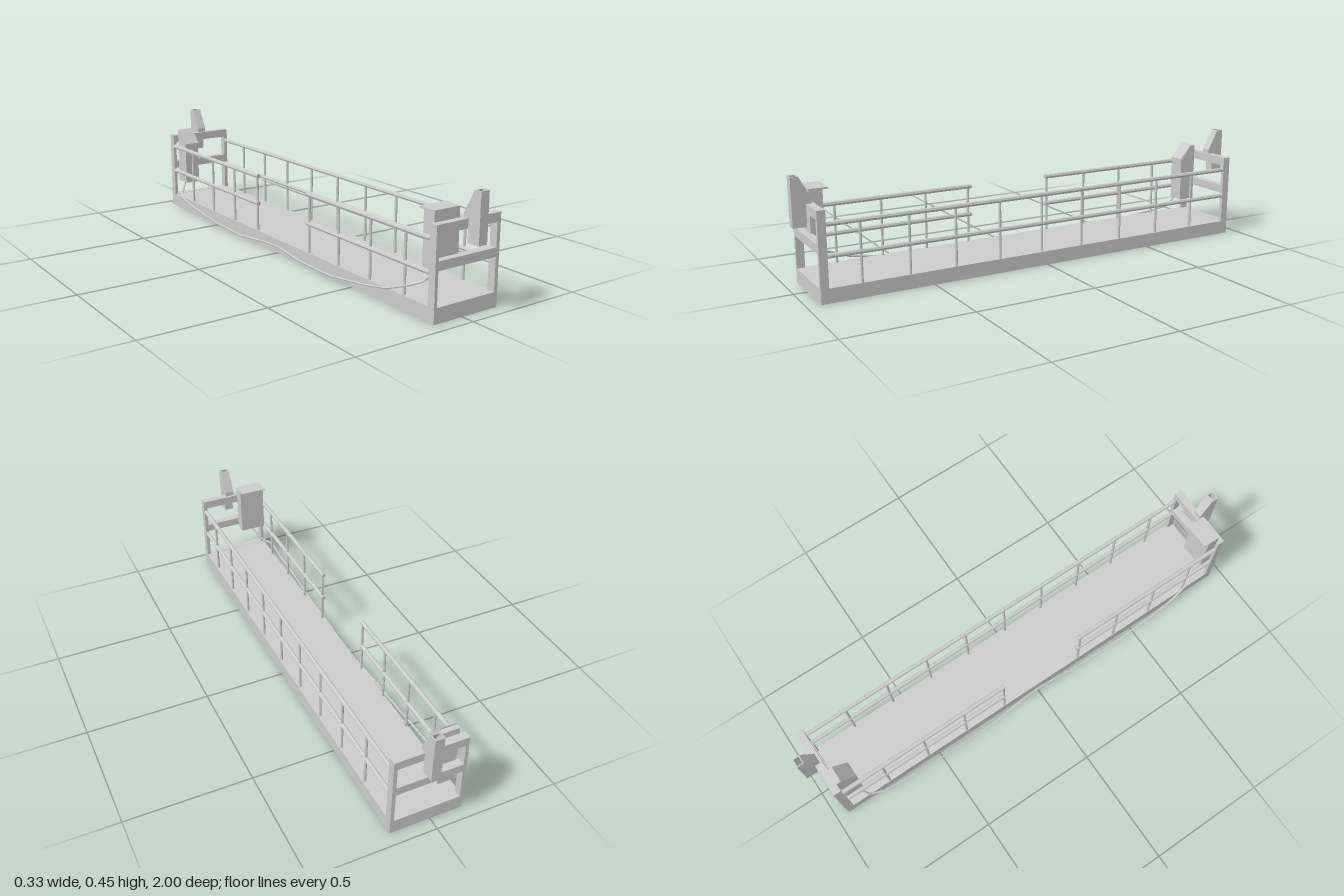
import * as THREE from 'three';

const material = new THREE.MeshStandardMaterial({ color: 0xcccccc, flatShading: true });
const X0 = -0.131, X1 = 0.163, END = 0.915, OUT = 0.947;

export function createModel() {
  const model = new THREE.Group();
  model.name = 'suspendedWorkPlatform';

  const add = (name, geometry, parent = model) => {
    const mesh = new THREE.Mesh(geometry, material);
    mesh.name = name;
    parent.add(mesh);
    return mesh;
  };
  const box = (name, x0, x1, y0, y1, z0, z1, parent) => {
    const g = new THREE.BoxGeometry(x1 - x0, y1 - y0, z1 - z0);
    g.translate((x0 + x1) / 2, (y0 + y1) / 2, (z0 + z1) / 2);
    return add(name, g, parent);
  };
  // side profile given as [z, y] points, extruded from x0 to x1
  const prism = (name, points, x0, x1, parent) => {
    const shape = new THREE.Shape(points.map(([z, y]) => new THREE.Vector2(z, y)));
    const g = new THREE.ExtrudeGeometry(shape, { depth: x1 - x0, bevelEnabled: false });
    g.rotateY(-Math.PI / 2).translate(x1, 0, 0);
    return add(name, g, parent);
  };
  const rectangle = (Type, x0, x1, y0, y1) => new Type().moveTo(x0, y0)
    .lineTo(x1, y0).lineTo(x1, y1).lineTo(x0, y1).closePath();

  // Deck
  box('deck', X0, X1, 0, 0.057, -END, END);

  // End frames with two openings, and a hollow hoist bracket on each
  for (const s of [1, -1]) {
    const end = new THREE.Group();
    end.name = s > 0 ? 'frontEnd' : 'backEnd';
    model.add(end);

    const shape = rectangle(THREE.Shape, X0, X1, 0, 0.347);
    shape.holes.push(rectangle(THREE.Path, -0.118, 0.148, 0.058, 0.187));
    shape.holes.push(rectangle(THREE.Path, -0.118, 0.148, 0.221, 0.312));
    const frame = new THREE.ExtrudeGeometry(shape, { depth: OUT - END, bevelEnabled: false });
    frame.translate(0, 0, s > 0 ? END : -OUT);
    add('endFrame', frame, end);

    const bracket = new THREE.Group();
    bracket.name = 'hoistBracket';
    end.add(bracket);
    const bx0 = 0.009, bx1 = 0.047, t = 0.004;
    const flip = (points) => points.map(([z, y]) => [s * z, y]);
    const cheek = flip([[OUT, 0.262], [1, 0.262], [1, 0.45], [0.97, 0.45],
      [0.925, 0.365], [0.925, 0.347], [OUT, 0.347]]);
    prism('bracketCheek', cheek, bx0, bx0 + t, bracket);
    prism('bracketCheek', cheek, bx1 - t, bx1, bracket);
    const wall = (name, points) => prism(name, flip(points), bx0 + t, bx1 - t, bracket);
    wall('bracketOuterWall', [[1 - t, 0.262], [1, 0.262], [1, 0.45], [1 - t, 0.45]]);
    wall('bracketInnerWall', [[0.925, 0.347], [0.929, 0.347], [0.929, 0.364],
      [0.974, 0.45], [0.97, 0.45], [0.925, 0.365]]);
    wall('bracketFloor', [[OUT, 0.262], [1 - t, 0.262], [1 - t, 0.266], [OUT, 0.266]]);
    wall('bracketBack', [[OUT, 0.266], [OUT + t, 0.266], [OUT + t, 0.351],
      [0.929, 0.351], [0.929, 0.347], [OUT, 0.347]]);
  }

  // Guard rails: one full side, one side with an entry gap
  const rails = new THREE.Group();
  rails.name = 'guardRails';
  model.add(rails);
  const railRun = (x, z0, z1) => {
    for (const y of [0.175, 0.293]) {
      const g = new THREE.CylinderGeometry(0.0095, 0.0095, z1 - z0, 8);
      g.rotateX(Math.PI / 2).translate(x, y, (z0 + z1) / 2);
      add('rail', g, rails);
    }
    for (let i = 0; i < 9; i++) {
      const z = 0.787 - i * 0.1905;
      if (z < z0 || z > z1) continue;
      const g = new THREE.CylinderGeometry(0.0055, 0.0055, 0.24, 8);
      add('railPost', g.translate(x, 0.173, z), rails);
    }
  };
  railRun(0.154, -END, END);
  railRun(-0.124, -END, -0.157);
  railRun(-0.124, 0.2, END);

  // Control cabinet with an overhanging lid
  box('controlCabinet', -0.118, -0.005, 0.175, 0.382, 0.867, 0.92);
  box('cabinetLid', -0.118, -0.005, 0.382, 0.388, 0.845, 0.92);

  // Rear equipment box with a sloping top
  prism('rearBox', [[-0.915, 0.125], [-0.84, 0.125], [-0.84, 0.31],
    [-0.895, 0.373], [-0.915, 0.373]], -0.107, -0.04);
  prism('rearBoxLid', [[-0.836, 0.309], [-0.836, 0.315], [-0.895, 0.378], [-0.895, 0.373]],
    -0.107, -0.04);

  // Slack cables along the entry side
  const cable = (points) => {
    const path = new THREE.CurvePath();
    const v = points.map((p) => new THREE.Vector3(...p));
    for (let i = 1; i < v.length; i++) path.add(new THREE.LineCurve3(v[i - 1], v[i]));
    add('cable', new THREE.TubeGeometry(path, 120, 0.0045, 6));
  };
  cable([[-0.055, 0.178, 0.89], [-0.095, 0.117, 0.85], [-0.133, 0.1, 0.81],
    [-0.146, 0.065, 0.72], [-0.154, 0.045, 0.6], [-0.156, 0.02, 0.4], [-0.153, 0.02, 0.2],
    [-0.14, 0.03, 0.02], [-0.142, 0.03, -0.06], [-0.16, 0.018, -0.25], [-0.163, 0.025, -0.45],
    [-0.16, 0.045, -0.65], [-0.154, 0.058, -0.77], [-0.135, 0.075, -0.835],
    [-0.1, 0.13, -0.865]]);

  return model;
}
